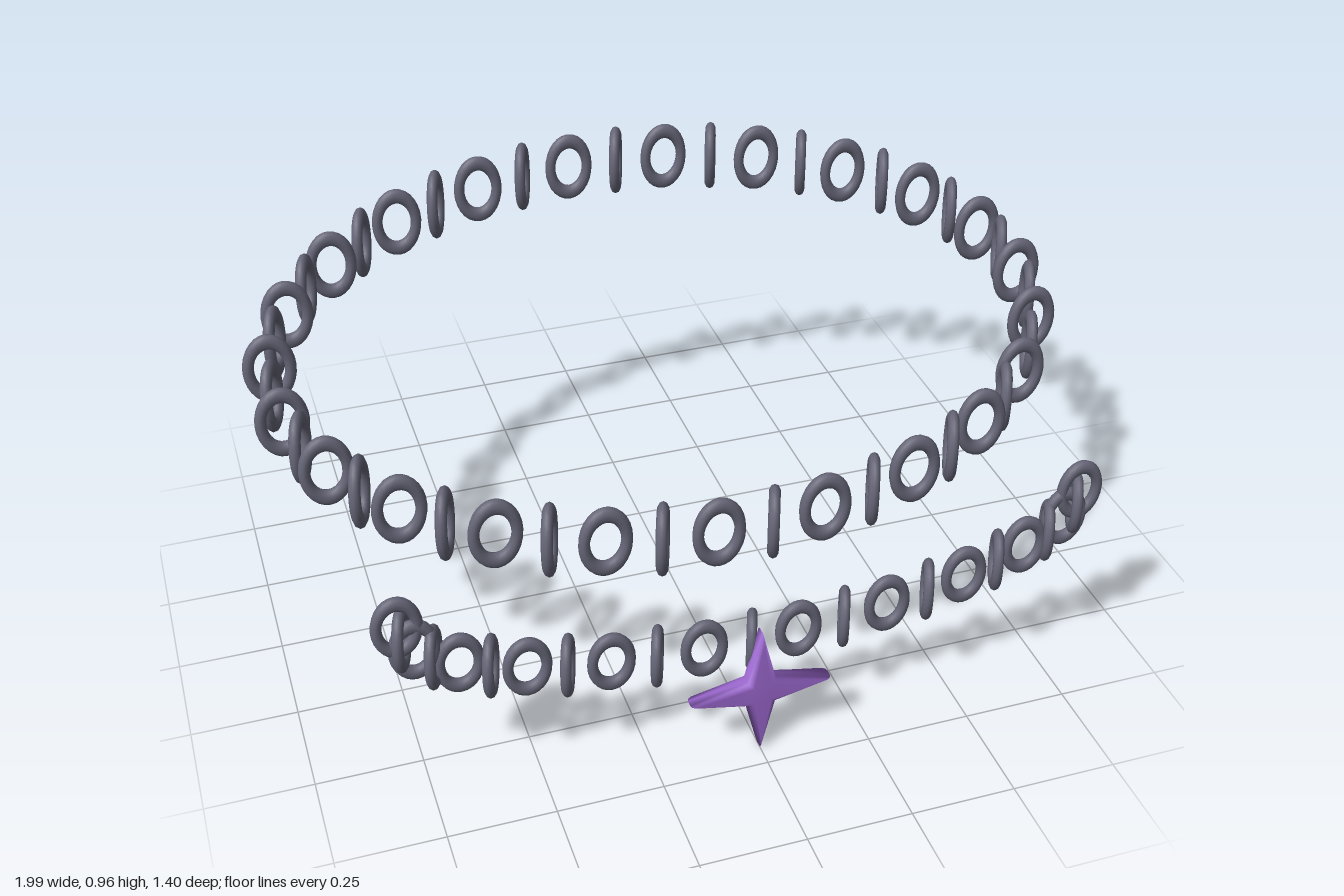
import * as THREE from 'three';
import { mergeVertices } from 'three/addons/utils/BufferGeometryUtils.js';

const metal = new THREE.MeshStandardMaterial({ color: 0x666678 });
const gem = new THREE.MeshStandardMaterial({ color: 0x9966cc });

// Oval chain link, taller than wide
function linkGeometry(radius, tube, stretch) {
  return new THREE.TorusGeometry(radius, tube, 10, 28).scale(1, stretch, 1);
}

// Links alternate between facing front and being turned about y
function addChain(name, count, geometry, pointAt) {
  const chain = new THREE.Group();
  chain.name = name;
  for (let i = 0; i < count; i++) {
    const link = new THREE.Mesh(geometry, metal);
    link.name = 'chainLink';
    link.position.copy(pointAt(i));
    link.rotation.y = i % 2 ? 1.2 : 0;
    chain.add(link);
  }
  return chain;
}

// Four-pointed star with a soft bevel and smooth normals
function starGeometry(tip, inner) {
  const points = [];
  for (let i = 0; i < 8; i++) {
    const r = i % 2 ? inner : tip;
    const a = (i * Math.PI) / 4;
    points.push(new THREE.Vector2(r * Math.cos(a), r * Math.sin(a)));
  }
  const extruded = new THREE.ExtrudeGeometry(new THREE.Shape(points), {
    depth: 0.016, bevelThickness: 0.015, bevelSize: 0.015, bevelSegments: 3,
  });
  extruded.deleteAttribute('uv');
  extruded.deleteAttribute('normal');
  const star = mergeVertices(extruded, 1e-4);
  star.computeVertexNormals();
  return star.center();
}

export function createModel() {
  const model = new THREE.Group();
  model.name = 'necklace';

  // Main loop: an ellipse that rises toward the back
  model.add(addChain('neckChain', 46, linkGeometry(0.049, 0.0135, 1.48), (i) => {
    const a = (i / 46) * Math.PI * 2;
    return new THREE.Vector3(0.939 * Math.cos(a), 0.707 - 0.158 * Math.sin(a), -0.035 + 0.607 * Math.sin(a));
  }));

  // Lower strand: half an ellipse hanging in front
  model.add(addChain('hangingChain', 23, linkGeometry(0.044, 0.0125, 1.43), (i) => {
    const a = (i / 22) * Math.PI;
    return new THREE.Vector3(0.797 * Math.cos(a), 0.508 - 0.241 * Math.sin(a), 0.622);
  }));

  // Star pendant
  const star = new THREE.Mesh(starGeometry(0.148, 0.03), gem);
  star.name = 'starPendant';
  star.position.set(0, 0.17, 0.682);
  model.add(star);

  return model;
}
